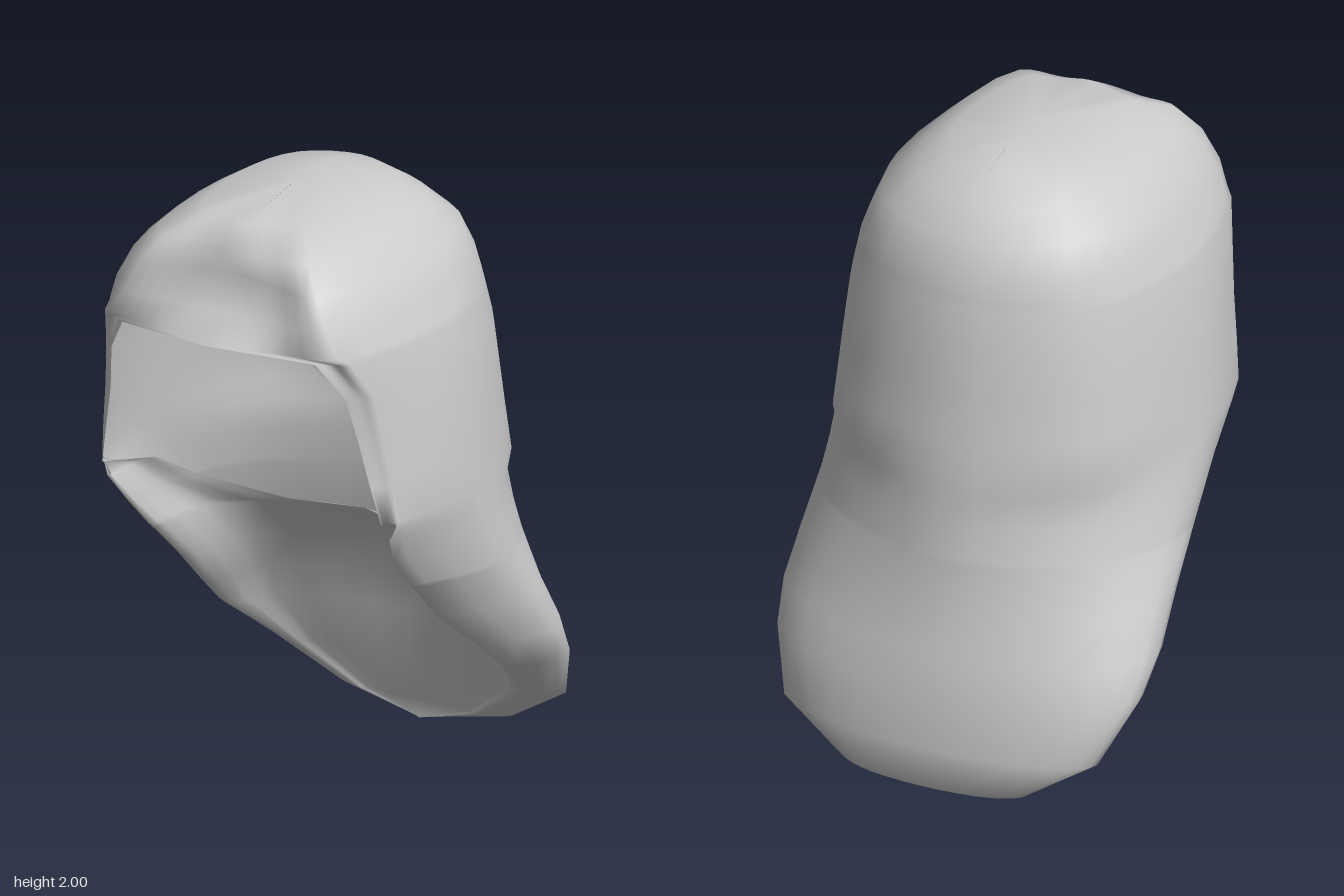
import * as THREE from 'three';
import { mergeVertices } from 'three/addons/utils/BufferGeometryUtils.js';

// Rows from top to bottom, each as half an outline seen from above:
// [y, start x, start z, front corner x, front corner z, half width, side z, back z]
// A start x above zero leaves the face opening between the two halves.
const HOOD = {
  bow: [0.5, 0.5], backCorner: 0.27,
  rows: [
    [2.0, 0, 0.18, 0, 0.1, 0, 0.03, -0.1],
    [1.96, 0, 0.46, 0.18, 0.4, 0.24, 0.08, -0.22],
    [1.9, 0, 0.56, 0.27, 0.52, 0.335, 0.05, -0.31],
    [1.82, 0, 0.52, 0.33, 0.57, 0.43, 0.02, -0.39],
    [1.72, 0, 0.59, 0.38, 0.59, 0.475, 0.03, -0.44],
    [1.64, 0, 0.69, 0.41, 0.58, 0.51, 0.06, -0.455],
    [1.62, 0.34, 0.61, 0.44, 0.55, 0.52, 0.08, -0.46],
    [1.5, 0.42, 0.545, 0.48, 0.48, 0.545, 0.08, -0.49],
    [1.35, 0.445, 0.51, 0.5, 0.45, 0.565, 0.08, -0.505],
    [1.2, 0.475, 0.49, 0.52, 0.43, 0.58, 0.08, -0.53],
    [1.08, 0.5, 0.47, 0.535, 0.41, 0.59, 0.06, -0.545],
  ],
};
// Here the outline folds over the side rims into the hollow behind the neck
const NAPE = {
  bow: [0.8, 0.4], backCorner: 0.34,
  rows: [
    [1.02, 0.465, 0.22, 0.505, 0.43, 0.594, 0.04, -0.55],
    [0.92, 0.4, 0.06, 0.475, 0.36, 0.6, 0, -0.56],
    [0.81, 0.22, -0.15, 0.47, 0.25, 0.605, -0.08, -0.57],
    [0.795, 0, -0.24, 0.465, 0.235, 0.605, -0.09, -0.575],
    [0.64, 0, -0.39, 0.45, 0.07, 0.62, -0.22, -0.59],
    [0.5, 0, -0.45, 0.48, -0.1, 0.632, -0.33, -0.63],
    [0.38, 0, -0.475, 0.5, -0.24, 0.615, -0.42, -0.655],
    [0.2, 0, -0.505, 0.42, -0.47, 0.535, -0.54, -0.685],
    [0.06, 0, -0.555, 0.22, -0.545, 0.31, -0.59, -0.67],
    [0.0, 0, -0.555, 0, -0.56, 0, -0.565, -0.57],
  ],
};
const HALF = 20;

// One row, from its front start round the left side and back to the right
function rowPoints([y, startX, startZ, frontX, frontZ, width, sideZ, backZ], { bow, backCorner }) {
  const at = (x, z) => new THREE.Vector3(x, y, z);
  const bowX = startX + bow[0] * (frontX - startX);
  const bowZ = startZ + bow[1] * (frontZ - startZ);
  const cornerX = 0.73 * width, cornerZ = backZ + backCorner * (sideZ - backZ);
  // Guide points beyond both ends keep the mirrored halves smooth
  const before = startX > 0 ? at(2 * startX - bowX, 2 * startZ - bowZ) : at(-bowX, bowZ);
  const curve = new THREE.CatmullRomCurve3([
    before, at(startX, startZ), at(bowX, bowZ), at(frontX, frontZ), at(width, sideZ),
    at(cornerX, cornerZ), at(0, backZ), at(-cornerX, cornerZ),
  ]);
  const half = [];
  for (let i = 0; i <= HALF; i++) half.push(curve.getPoint((1 + 5 * i / HALF) / 7));
  const mirrored = half.slice(0, -1).reverse().map((p) => at(-p.x, p.z));
  return half.concat(mirrored);
}

// Skin the rows into one smooth shell, welded where the halves meet
function shellGeometry() {
  const rows = [HOOD, NAPE].flatMap((part) => part.rows.map((row) => rowPoints(row, part)));
  const n = rows[0].length;
  const index = [];
  for (let r = 0; r < rows.length - 1; r++) {
    for (let i = 0; i < n - 1; i++) {
      const a = r * n + i, b = a + 1, c = a + n, d = c + 1;
      index.push(a, c, b, b, c, d);
    }
  }
  const geo = new THREE.BufferGeometry().setFromPoints(rows.flat());
  geo.setIndex(index);
  const welded = mergeVertices(geo, 1e-4);
  welded.computeVertexNormals();
  return welded;
}

export function createModel() {
  const group = new THREE.Group();
  group.name = 'hood';
  const material = new THREE.MeshStandardMaterial({ color: 0xcccccc, side: THREE.DoubleSide });
  const shell = new THREE.Mesh(shellGeometry(), material);
  shell.name = 'hoodShell';
  group.add(shell);
  return group;
}
